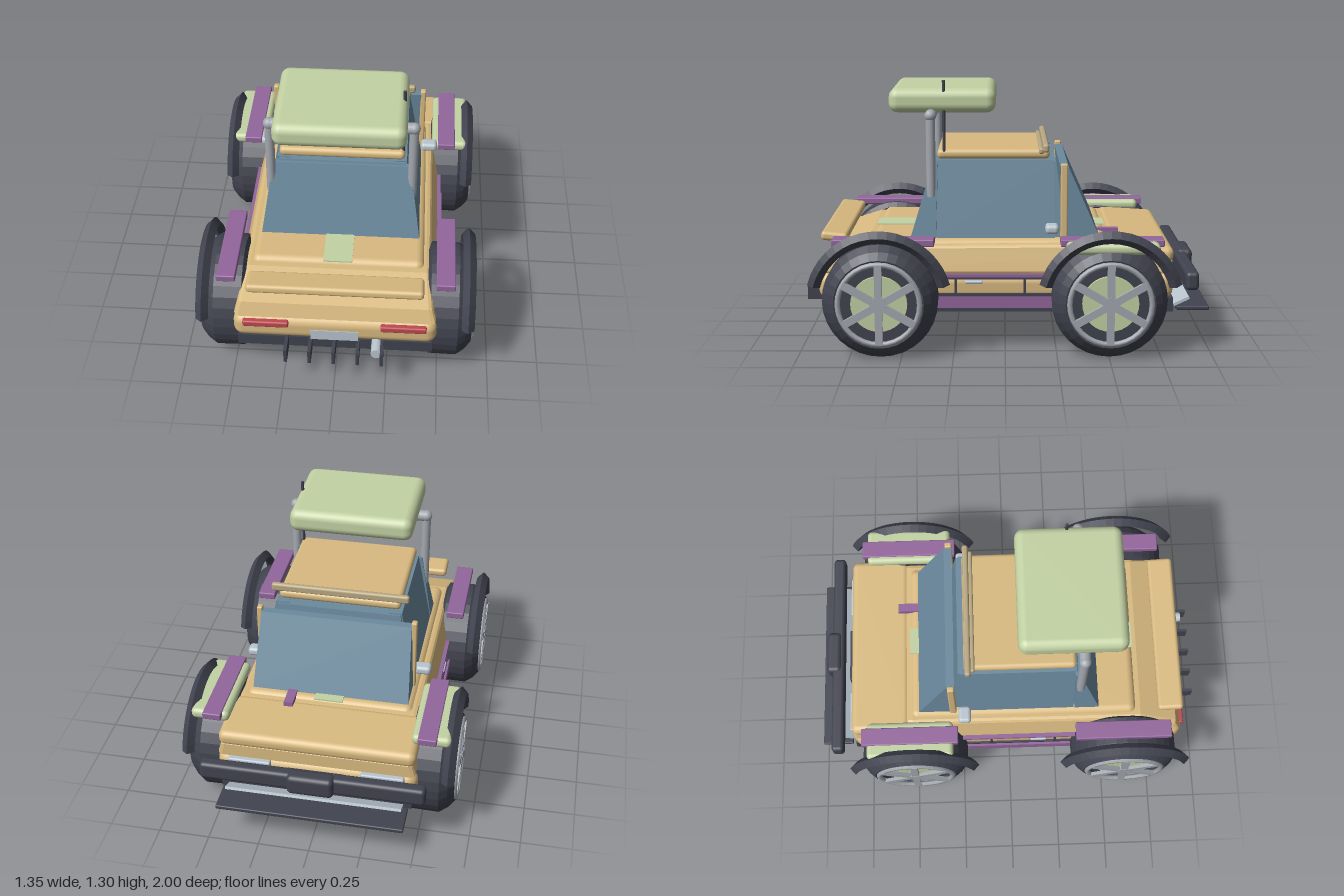
import * as THREE from 'three';
import { RoundedBoxGeometry } from 'three/addons/geometries/RoundedBoxGeometry.js';

const mat = (name, color) => {
  const m = new THREE.MeshStandardMaterial({ color });
  m.name = name;
  return m;
};

export function createModel() {
  const tan = mat('sand paint', 0xd9ba80), glass = mat('blue glass', 0x6b8a9e), dark = mat('dark rubber', 0x41434f),
    purple = mat('purple trim', 0x93669c), green = mat('pale green', 0xc3d2a4), grey = mat('metal grey', 0xa4a9b0),
    light = mat('light silver', 0xbac6d0), red = mat('tail light red', 0xbd4a50), khaki = mat('khaki bar', 0xb8a782);
  const model = new THREE.Group();
  model.name = 'car';

  const add = (name, geo, material, parent = model) => {
    const mesh = new THREE.Mesh(geo, material);
    mesh.name = name;
    parent.add(mesh);
    return mesh;
  };
  // Box from its limits; a radius rounds the edges
  const box = (name, m, x0, x1, y0, y1, z0, z1, r = 0) => {
    const s = [x1 - x0, y1 - y0, z1 - z0];
    const mesh = add(name, r ? new RoundedBoxGeometry(...s, 3, r) : new THREE.BoxGeometry(...s), m);
    mesh.position.set((x0 + x1) / 2, (y0 + y1) / 2, (z0 + z1) / 2);
    return mesh;
  };
  // The same box on both sides
  const pair = (name, m, x0, x1, ...rest) => {
    box(name + 'Left', m, x0, x1, ...rest);
    box(name + 'Right', m, -x1, -x0, ...rest);
  };
  const rod = (name, m, a, b, r, sides = 16) => {
    const p = new THREE.Vector3(...a), q = new THREE.Vector3(...b), d = q.clone().sub(p);
    const mesh = add(name, new THREE.CylinderGeometry(r, r, d.length(), sides), m);
    mesh.position.copy(p).add(q).multiplyScalar(0.5);
    mesh.quaternion.setFromUnitVectors(new THREE.Vector3(0, 1, 0), d.normalize());
    return mesh;
  };
  // Six-sided block whose lower and upper outlines [x0, x1, z0, z1] differ
  const frustum = (name, m, y0, y1, low, high) => {
    const g = new THREE.BoxGeometry(1, 1, 1), p = g.attributes.position;
    for (let i = 0; i < p.count; i++) {
      const up = p.getY(i) > 0, o = up ? high : low;
      p.setXYZ(i, p.getX(i) < 0 ? o[0] : o[1], up ? y1 : y0, p.getZ(i) < 0 ? o[2] : o[3]);
    }
    g.computeVertexNormals();
    return add(name, g, m);
  };

  // Lower body and floor
  box('lowerBody', tan, -0.49, 0.49, 0.25, 0.385, -0.82, 0.91, 0.05);
  box('underfloor', dark, -0.47, 0.47, 0.19, 0.26, -0.82, 0.88);

  // Upper body: side profile extruded across the car
  const profile = new THREE.Shape([[0.88, 0.395], [0.86, 0.44], [0.68, 0.5], [-0.5, 0.51], [-0.77, 0.485],
    [-0.8, 0.44], [-0.8, 0.395]].map(([z, y]) => new THREE.Vector2(z, y)));
  const bodyGeo = new THREE.ExtrudeGeometry(profile,
    { depth: 0.9, bevelEnabled: true, bevelSize: 0.015, bevelThickness: 0.02, bevelSegments: 2 });
  bodyGeo.translate(0, 0, -0.45).rotateY(-Math.PI / 2);
  const bp = bodyGeo.attributes.position;
  for (let i = 0; i < bp.count; i++) bp.setX(i, bp.getX(i) * (1.03 - Math.max(0, bp.getY(i) - 0.385) * 0.6));
  bodyGeo.computeVertexNormals();
  add('upperBody', bodyGeo, tan);
  box('deck', tan, -0.42, 0.42, 0.45, 0.54, -0.51, 0.66, 0.04);
  const hood = box('hood', tan, -0.48, 0.48, 0.44, 0.52, -0.82, -0.51, 0.035);
  hood.rotation.x = -0.06;
  box('rearLip', tan, -0.42, 0.42, 0.53, 0.575, 0.77, 0.9, 0.018).rotation.x = -0.1;
  box('centreStripe', green, -0.07, 0.07, 0.538, 0.545, -0.51, 0.66);
  box('hoodVent', purple, 0.165, 0.21, 0.52, 0.55, -0.57, -0.45);

  // Cabin
  frustum('cabin', glass, 0.53, 0.91, [-0.37, 0.37, -0.3, 0.44], [-0.31, 0.31, -0.25, 0.34]);
  frustum('rearGlass', glass, 0.54, 0.9, [-0.39, 0.39, 0.34, 0.465], [-0.335, 0.335, 0.33, 0.355]);
  frustum('frontGlass', glass, 0.54, 0.89, [-0.39, 0.39, -0.465, -0.3], [-0.375, 0.375, -0.31, -0.27]);
  frustum('sideGlassLeft', glass, 0.54, 0.915, [0.3, 0.388, -0.245, 0.335], [0.25, 0.315, -0.24, 0.33]);
  frustum('sideGlassRight', glass, 0.54, 0.915, [-0.388, -0.3, -0.245, 0.335], [-0.315, -0.25, -0.24, 0.33]);
  pair('pillar', tan, 0.372, 0.4, 0.53, 0.91, -0.305, -0.27, 0.008);
  box('roof', tan, -0.305, 0.305, 0.918, 0.967, -0.22, 0.335, 0.022);
  box('roofBarLower', khaki, -0.32, 0.32, 0.945, 0.975, -0.19, -0.165, 0.01);
  box('roofBarUpper', khaki, -0.345, 0.345, 0.955, 0.997, -0.215, -0.185, 0.012);
  pair('mirror', light, 0.385, 0.47, 0.575, 0.62, -0.26, -0.195, 0.018);

  // Roll bar with padded canopy and aerial
  for (const s of [-1, 1]) {
    rod('rollBarPost', grey, [s * 0.345, 0.74, 0.363], [s * 0.345, 1.14, 0.363], 0.023);
    add('rollBarCorner', new THREE.SphereGeometry(0.029, 16, 10), grey).position.set(s * 0.345, 1.138, 0.363);
  }
  rod('rollBarTop', grey, [-0.345, 1.138, 0.363], [0.345, 1.138, 0.363], 0.028);
  box('canopy', green, -0.313, 0.313, 1.145, 1.265, 0.045, 0.57, 0.045);
  rod('aerial', dark, [0.295, 0.93, 0.3], [0.295, 1.305, 0.3], 0.008, 8);

  // Sills, seams and door handles
  pair('sill', purple, 0.45, 0.51, 0.22, 0.275, -0.3, 0.36);
  pair('beltTrim', purple, 0.47, 0.5, 0.37, 0.385, -0.3, 0.36);
  pair('sillLine', dark, 0.47, 0.498, 0.275, 0.29, -0.3, 0.36);
  pair('beltLine', dark, 0.47, 0.496, 0.36, 0.37, -0.3, 0.36);
  for (const z of [-0.095, 0.24]) pair('doorSeam', dark, 0.47, 0.496, 0.285, 0.365, z - 0.006, z + 0.006);
  pair('doorHandle', light, 0.48, 0.505, 0.338, 0.354, 0.11, 0.195, 0.006);

  // Wheels
  const tyreGeo = new THREE.LatheGeometry([[0, -0.09], [0.19, -0.09], [0.25, -0.11], [0.276, -0.095], [0.278, 0.04],
    [0.25, 0.08], [0.215, 0.11], [0.195, 0.105], [0.19, 0.085], [0, 0.085]]
    .map(([r, y]) => new THREE.Vector2(r, y)), 32).toNonIndexed();
  tyreGeo.computeVertexNormals();
  const makeWheel = () => {
    const wheel = new THREE.Group();
    wheel.name = 'wheel';
    add('tyre', tyreGeo, dark, wheel);
    const rim = add('rim', new THREE.TorusGeometry(0.195, 0.013, 6, 32), grey, wheel);
    rim.rotation.x = Math.PI / 2;
    rim.position.y = 0.11;
    add('brakeDisc', new THREE.CylinderGeometry(0.135, 0.135, 0.02, 32), green, wheel).position.y = 0.09;
    add('hub', new THREE.CylinderGeometry(0.04, 0.04, 0.04, 16), grey, wheel).position.y = 0.105;
    for (let i = 0; i < 3; i++) {
      const spokes = add('spokePair', new THREE.BoxGeometry(0.39, 0.018, 0.036), grey, wheel);
      spokes.position.y = 0.114;
      spokes.rotation.y = i * Math.PI / 3;
    }
    return wheel;
  };
  const archGeo = new THREE.TorusGeometry(0.319, 0.031, 4, 20, Math.PI * 5 / 6).rotateZ(Math.PI / 12)
    .rotateY(Math.PI / 2).toNonIndexed();
  archGeo.computeVertexNormals();
  for (const z of [0.6, -0.5]) {
    for (const s of [-1, 1]) {
      const wheel = makeWheel();
      wheel.position.set(s * 0.55, 0.278, z);
      wheel.rotation.z = -s * Math.PI / 2;
      model.add(wheel);
      add('wheelArch', archGeo, dark).position.set(s * 0.635, 0.28, z);
    }
  }
  pair('rearFender', purple, 0.477, 0.568, 0.537, 0.572, 0.34, 0.83, 0.006);
  pair('frontFender', purple, 0.477, 0.568, 0.537, 0.572, -0.76, -0.265, 0.006);
  pair('fenderPad', green, 0.445, 0.635, 0.51, 0.566, -0.735, -0.29, 0.025);

  // Tail
  pair('tailLight', red, 0.22, 0.44, 0.337, 0.37, 0.89, 0.922, 0.008);
  box('rearPlate', light, -0.115, 0.115, 0.265, 0.322, 0.905, 0.914);
  box('diffuser', dark, -0.47, 0.47, 0.19, 0.25, 0.8, 0.89);
  for (let i = -2; i <= 2; i++) box('diffuserFin', dark, i * 0.115 - 0.008, i * 0.115 + 0.008, 0.19, 0.265, 0.87, 1);
  rod('exhaust', light, [0.205, 0.24, 0.85], [0.205, 0.24, 0.97], 0.027);

  // Nose
  pair('headlight', light, 0.22, 0.43, 0.335, 0.38, -0.84, -0.8, 0.008);
  box('grille', dark, -0.14, 0.14, 0.27, 0.35, -0.847, -0.8, 0.006);
  box('bumper', dark, -0.545, 0.545, 0.315, 0.405, -0.935, -0.87, 0.02);
  box('winch', dark, -0.113, 0.113, 0.31, 0.415, -0.965, -0.885, 0.025);
  box('splitter', dark, -0.455, 0.455, 0.192, 0.213, -1, -0.84, 0.006);
  box('skidPlate', light, -0.43, 0.43, 0.224, 0.238, -0.91, -0.825).rotation.x = 0.45;

  return model;
}
